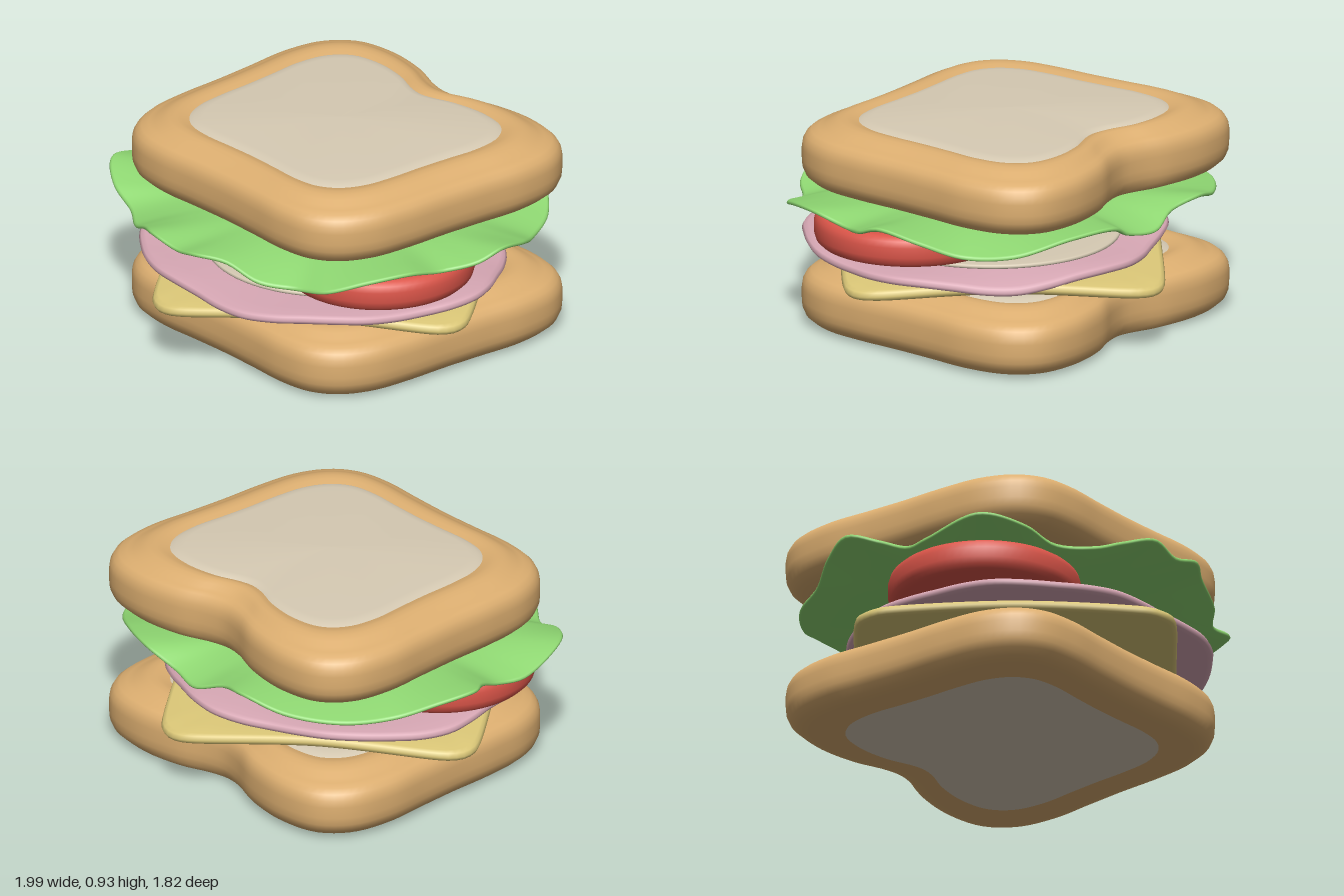
import * as THREE from 'three';

const paint = (name, color) => {
  const m = new THREE.MeshStandardMaterial({ color });
  m.name = name;
  return m;
};
const V = (x, y, z) => new THREE.Vector3(x, y, z);

// Closed smooth outline through [x, z, edgeLift] points, anticlockwise seen from above
function outline(points, count = 144) {
  const curve = new THREE.CatmullRomCurve3(points.map(([x, z, lift = 0]) => V(x, lift, z)), true);
  curve.arcLengthDivisions = 600;
  return curve.getSpacedPoints(count).slice(0, count);
}

// Rings of the outline scaled about a centre; profile is [scale, height] from the bottom up.
// The outline's lift fades in towards the edge.
function shell(edge, profile, cx = 0, cz = 0) {
  const pos = [], index = [], n = edge.length;
  for (const [s, y] of profile) {
    const fade = Math.max(0, (s - 0.45) / 0.55) ** 2;
    for (const p of edge) pos.push(cx + (p.x - cx) * s, y + p.y * fade, cz + (p.z - cz) * s);
  }
  for (let j = 0; j < profile.length - 1; j++) {
    for (let i = 0; i < n; i++) {
      const a = j * n + i, b = j * n + (i + 1) % n;
      if (profile[j][0] > 0) index.push(a, b, b + n);
      if (profile[j + 1][0] > 0) index.push(a, b + n, a + n);
      else if (profile[j][0] > 0) continue;
    }
  }
  const g = new THREE.BufferGeometry();
  g.setAttribute('position', new THREE.Float32BufferAttribute(pos, 3));
  g.setIndex(index);
  g.computeVertexNormals();
  return g;
}

// Profile of a thin sheet with a rounded rim
function sheet(y, half, rim) {
  const under = [[0.001, -1], [0.25, -1], [0.45, -1], [0.6, -1], [0.75, -1], [0.87, -1], [1 - rim, -1], [1 - rim * 0.3, -0.7], [1, 0]];
  const over = under.slice(0, -1).reverse().map(([s, h]) => [s, -h]);
  return [...under, ...over].map(([s, h]) => [s, y + h * half]);
}

export function createModel() {
  const model = new THREE.Group();
  model.name = 'sandwich';
  const crust = paint('crust tan', 0xdcae70);
  const crumb = paint('crumb cream', 0xd6cab3);
  const green = paint('lettuce green', 0x90d973);
  const red = paint('tomato red', 0xdb5549);
  const pink = paint('ham pink', 0xd9a9b6);
  const yellow = paint('cheese yellow', 0xdcc878);
  const add = (parent, name, geometry, material) => {
    const mesh = new THREE.Mesh(geometry, material);
    mesh.name = name;
    parent.add(mesh);
    return mesh;
  };

  // Bread: mirrored outline, crust ring with crumb faces above and below
  const half = [[0.2, 0.65], [0.4, 0.657], [0.56, 0.63], [0.67, 0.55], [0.74, 0.41], [0.765, 0.22], [0.772, 0],
    [0.785, -0.2], [0.8, -0.42], [0.765, -0.61], [0.66, -0.73], [0.47, -0.772], [0.25, -0.745], [0.1, -0.69]];
  const breadEdge = outline([[0, 0.645], ...half, [0, -0.672], ...half.map(([x, z]) => [-x, z]).reverse()]);
  const crustProfile = [[0.73, 0], [0.82, 0], [0.9, 0.002], [0.945, 0.014], [0.98, 0.04], [0.997, 0.075], [1, 0.11],
    [1, 0.16], [0.995, 0.19], [0.98, 0.215], [0.955, 0.234], [0.92, 0.243], [0.89, 0.252], [0.86, 0.267],
    [0.825, 0.278], [0.79, 0.281], [0.76, 0.277], [0.725, 0.268]];
  const topProfile = [[0.725, 0.268], [0.7, 0.277], [0.66, 0.281], [0.5, 0.287], [0.3, 0.295], [0.001, 0.3]];
  for (const [name, y] of [['bottomBread', 0], ['topBread', 0.63]]) {
    const slice = new THREE.Group();
    slice.name = name;
    slice.position.y = y;
    add(slice, 'crust', shell(breadEdge, crustProfile, 0, -0.05), crust);
    add(slice, 'upperCrumb', shell(breadEdge, topProfile, 0, -0.05), crumb);
    add(slice, 'lowerCrumb', shell(breadEdge, [[0.001, 0], [0.4, 0], [0.73, 0]], 0, -0.05), crumb);
    model.add(slice);
  }

  // Cheese: rounded square turned corner-on, with drooping corners
  const cheesePoints = [];
  for (let k = 0; k < 4; k++) {
    const phi = k * Math.PI / 2 - 0.1;
    for (const d of [-0.785, -0.4, 0, 0.4, 0.785]) {
      cheesePoints.push([0.764 * Math.cos(phi) + 0.15 * Math.cos(phi + d),
        -0.764 * Math.sin(phi) - 0.15 * Math.sin(phi + d), -0.036 + Math.abs(d) * 0.008]);
    }
    const mid = phi + Math.PI / 4;
    cheesePoints.push([0.69 * Math.cos(mid), -0.69 * Math.sin(mid), -0.002]);
  }
  add(model, 'cheese', shell(outline(cheesePoints), sheet(0.318, 0.024, 0.03)), yellow);

  // Ham: uneven round slice, sagging towards the back right
  const hamPoints = [];
  for (let i = 0; i < 36; i++) {
    const a = i / 36 * Math.PI * 2;
    const r = 1 + 0.02 * Math.sin(5 * a + 0.6) + 0.012 * Math.sin(9 * a);
    const sag = Math.exp(-(((a - 0.85) / 0.4) ** 2));
    hamPoints.push([0.022 + 0.82 * r * Math.cos(a), 0.06 - 0.76 * r * Math.sin(a), 0.007 * Math.sin(6 * a) - 0.035 * sag]);
  }
  add(model, 'ham', shell(outline(hamPoints), sheet(0.361, 0.021, 0.035), 0.02, 0.06), pink);

  // Pale spread under the tomatoes
  const circle = outline(Array.from({ length: 24 }, (_, i) => {
    const a = i / 24 * Math.PI * 2;
    return [Math.cos(a), -Math.sin(a)];
  }), 72);
  const spread = add(model, 'spread', shell(circle, sheet(0.39, 0.01, 0.02)), crumb);
  spread.scale.set(0.56, 1, 0.58);
  spread.position.set(0.06, 0, 0.02);

  // Two tomato slices side by side
  const tomatoProfile = [[0.001, 0], [0.5, 0], [0.88, 0], [0.94, 0.006], [0.98, 0.022], [1, 0.05],
    [1, 0.095], [0.98, 0.122], [0.94, 0.137], [0.88, 0.143], [0.5, 0.143], [0.001, 0.143]];
  for (const [name, x, z] of [['leftTomato', 0.455, 0.135], ['rightTomato', -0.435, 0.185]]) {
    const tomato = add(model, name, shell(circle.map((p) => p.clone().multiplyScalar(0.415)), tomatoProfile), red);
    tomato.position.set(x, 0.408, z);
  }

  // Lettuce: ruffled leaf, its edge given as x, z and rise or fall
  const leaf = [[0, 0.89, 0.0], [0.13, 0.9, 0.025], [0.25, 0.83, 0.01], [0.4, 0.775, -0.05], [0.52, 0.67, -0.072],
    [0.68, 0.63, -0.045], [0.8, 0.5, 0], [0.885, 0.33, 0.02], [0.885, 0.15, -0.02], [0.97, 0.02, 0.01],
    [0.995, -0.1, 0.05], [0.93, -0.28, 0.0], [0.82, -0.43, -0.06], [0.7, -0.62, -0.05], [0.5, -0.77, 0.01],
    [0.3, -0.845, 0.02], [0.15, -0.815, -0.045], [0, -0.845, -0.06], [-0.15, -0.815, -0.01], [-0.3, -0.845, 0.02],
    [-0.5, -0.77, -0.03], [-0.7, -0.62, -0.05], [-0.82, -0.43, -0.045], [-0.93, -0.28, 0.01], [-0.997, -0.12, 0.045],
    [-0.92, 0, 0.01], [-0.885, 0.12, -0.04], [-0.91, 0.25, -0.045], [-0.86, 0.5, 0.02], [-0.7, 0.63, -0.02],
    [-0.55, 0.67, -0.07], [-0.4, 0.775, -0.06], [-0.28, 0.83, -0.01], [-0.15, 0.9, 0.03]];
  add(model, 'lettuce', shell(outline(leaf, 216), sheet(0.588, 0.01, 0.012)), green);
  return model;
}
